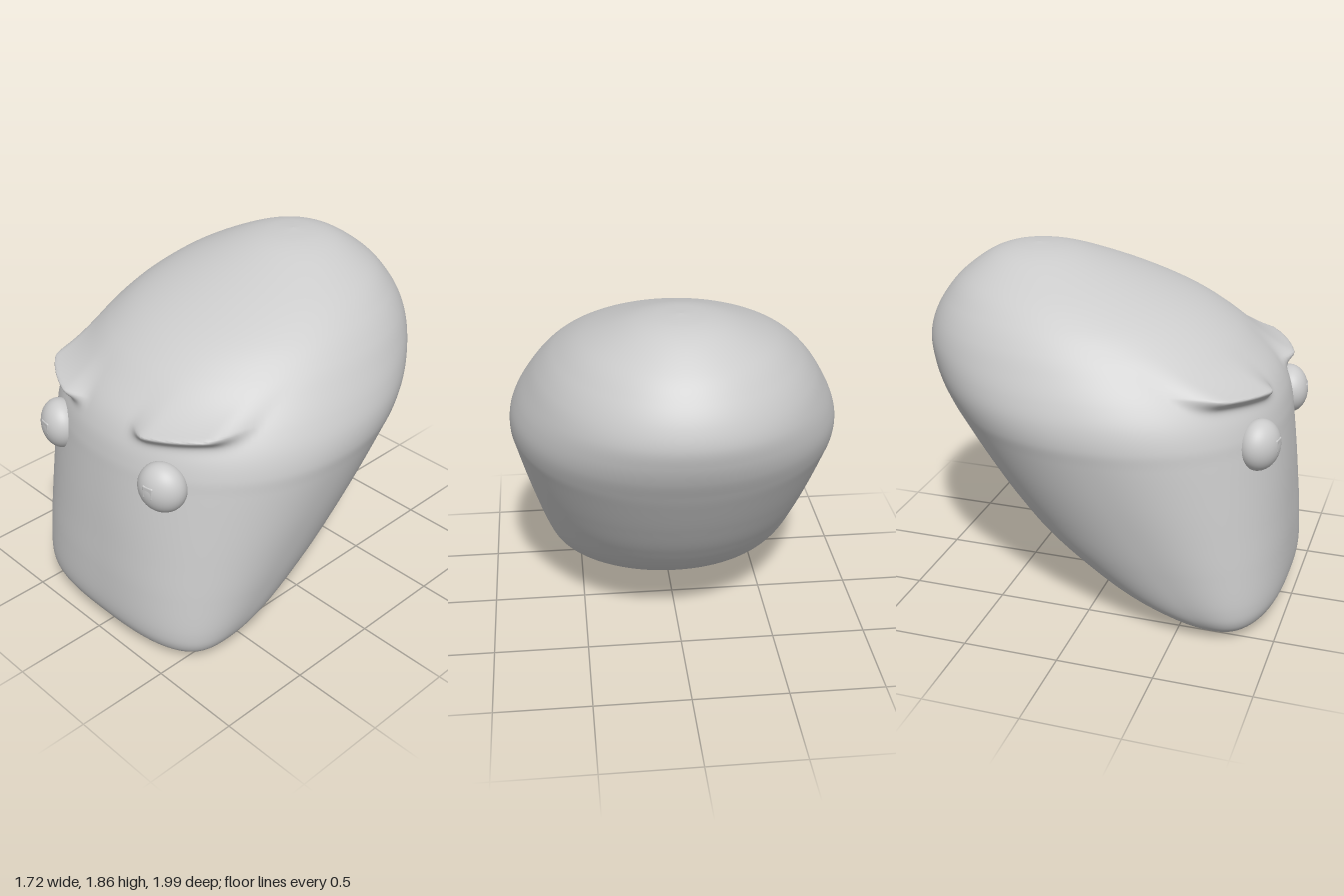
import * as THREE from 'three';
import { RoundedBoxGeometry } from 'three/addons/geometries/RoundedBoxGeometry.js';

// Horizontal sections: y, half width, front z, back z, z of widest point, front squareness
const SECTIONS = [
  [0, 0.4, 0.68, 0.68, 0.68, 2.8],
  [0.012, 0.48, 0.83, 0.52, 0.69, 2.8],
  [0.04, 0.56, 0.91, 0.38, 0.68, 2.8],
  [0.1, 0.625, 0.965, 0.14, 0.64, 2.8],
  [0.2, 0.67, 0.99, -0.095, 0.56, 2.75],
  [0.4, 0.717, 0.988, -0.385, 0.43, 2.6],
  [0.6, 0.76, 0.975, -0.565, 0.31, 2.45],
  [0.8, 0.803, 0.96, -0.705, 0.2, 2.3],
  [1.0, 0.843, 0.94, -0.83, 0.1, 2.18],
  [1.1, 0.86, 0.927, -0.888, 0.05, 2.14],
  [1.2, 0.852, 0.9, -0.942, 0.0, 2.1],
  [1.3, 0.818, 0.845, -0.98, -0.05, 2.07],
  [1.4, 0.767, 0.75, -0.998, -0.1, 2.05],
  [1.5, 0.705, 0.63, -0.975, -0.16, 2.05],
  [1.6, 0.62, 0.46, -0.92, -0.22, 2.03],
  [1.7, 0.495, 0.21, -0.835, -0.3, 2],
  [1.8, 0.3, -0.09, -0.7, -0.38, 2],
  [1.845, 0.155, -0.26, -0.58, -0.42, 2],
  [1.86, 0, -0.43, -0.43, -0.43, 2],
];
const STEPS = 14, SIDES = 200;

// Smooth blend between neighbouring sections
function sectionAt(i, t) {
  const at = (k) => SECTIONS[THREE.MathUtils.clamp(k, 0, SECTIONS.length - 1)];
  const [a, b, c, d] = [at(i - 1), at(i), at(i + 1), at(i + 2)];
  return b.map((p, k) => p + 0.5 * t * (c[k] - a[k]
    + t * (2 * a[k] - 5 * p + 4 * c[k] - d[k] + t * (3 * (p - c[k]) + d[k] - a[k]))));
}

// How far a point of the face is pushed out to form a sharp brow
function browLift(x, y) {
  const ax = Math.abs(x);
  const ends = THREE.MathUtils.smoothstep(ax, 0.15, 0.3)
    * (1 - THREE.MathUtils.smoothstep(ax, 0.55, 0.66));
  const d = y - (1.265 + 0.1 * ax);
  const height = 0.085 + 0.15 * Math.max(ax - 0.25, 0);
  return height * ends * (d > 0 ? Math.exp(-d / 0.055) : Math.exp(-((d / 0.045) ** 2)));
}

function headGeometry() {
  const points = [], index = [];
  const rows = (SECTIONS.length - 1) * STEPS;
  for (let r = 0; r <= rows; r++) {
    const i = Math.min(Math.floor(r / STEPS), SECTIONS.length - 2);
    const [y, w, front, back, mid, square] = sectionAt(i, r / STEPS - i);
    for (let j = 0; j < SIDES; j++) {
      const a = (j / SIDES) * Math.PI * 2;
      const s = Math.sin(a), c = Math.cos(a);
      const n = c > 0 ? square : 2.05;
      const k = (Math.abs(s) ** n + Math.abs(c) ** n) ** (-1 / n);
      const x = Math.max(w, 0) * k * s;
      const lift = c > 0 ? browLift(x, y) : 0;
      points.push(x + lift * 0.2 * s, Math.max(y, 0),
        mid + k * c * (c > 0 ? front - mid : mid - back) + lift);
      if (r < rows) {
        const p = r * SIDES + j, q = r * SIDES + (j + 1) % SIDES;
        index.push(p, q, p + SIDES, q, q + SIDES, p + SIDES);
      }
    }
  }
  const geo = new THREE.BufferGeometry();
  geo.setAttribute('position', new THREE.Float32BufferAttribute(points, 3));
  geo.setIndex(index);
  geo.computeVertexNormals();
  return geo;
}

export function createModel() {
  const model = new THREE.Group();
  const material = new THREE.MeshStandardMaterial({ color: 0xcccccc });

  // Egg-shaped head with flat face and brow ridges
  const head = new THREE.Mesh(headGeometry(), material);
  head.name = 'head';
  model.add(head);

  // Eyes, each with a small raised pupil
  for (const side of [1, -1]) {
    const eye = new THREE.Group();
    eye.name = side > 0 ? 'leftEye' : 'rightEye';
    eye.position.set(0.397 * side, 1.043, 0.857);
    eye.rotation.y = 0.35 * side;
    const ball = new THREE.Mesh(new THREE.SphereGeometry(1, 40, 28), material);
    ball.name = 'eyeball';
    ball.scale.set(0.127, 0.132, 0.1);
    const pupil = new THREE.Mesh(new RoundedBoxGeometry(0.065, 0.07, 0.02, 3, 0.008), material);
    pupil.name = 'pupil';
    pupil.position.set(-0.03 * side, 0.01, 0.085);
    pupil.rotation.y = -0.2 * side;
    eye.add(ball, pupil);
    model.add(eye);
  }
  return model;
}
